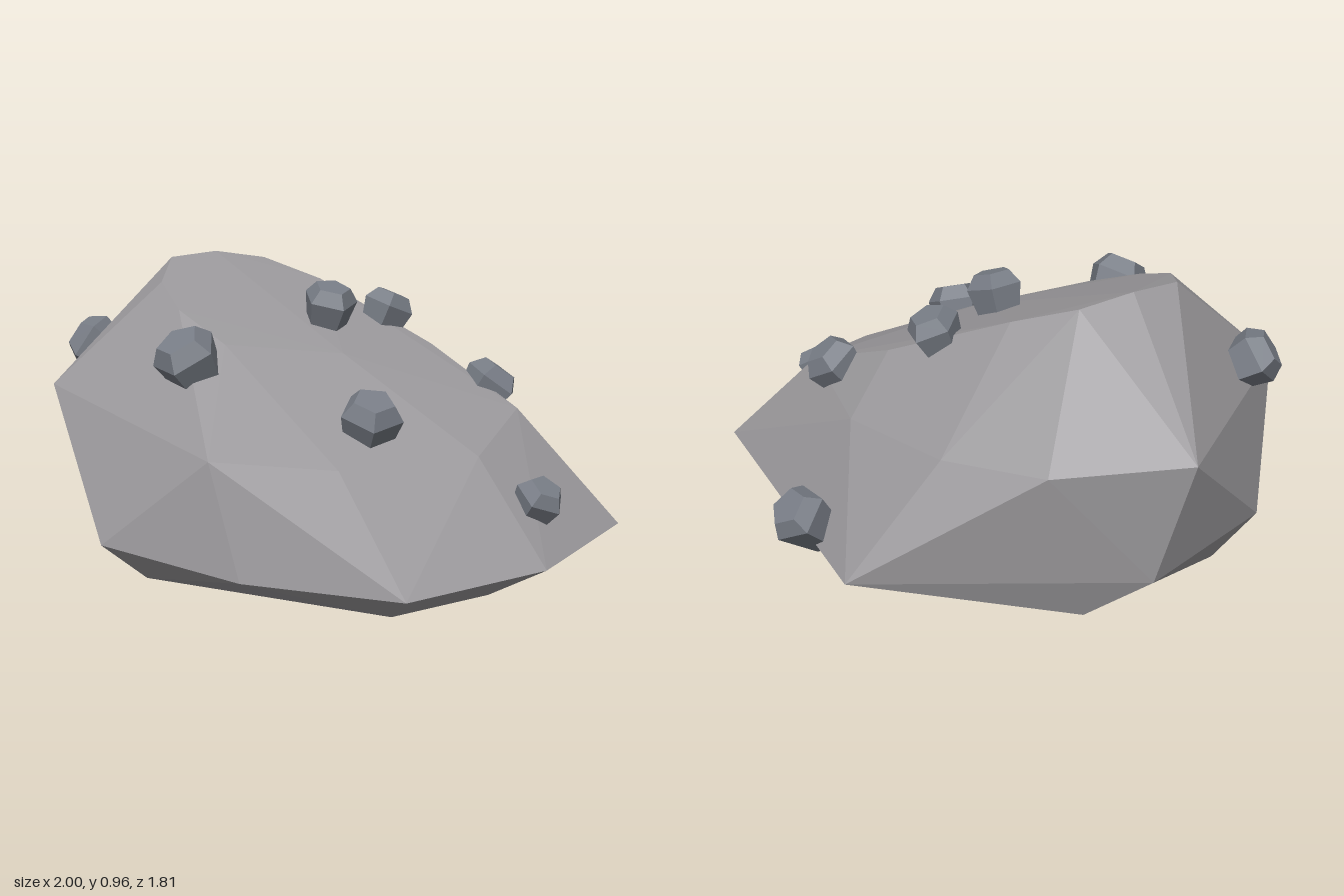
import * as THREE from 'three';
import { ConvexGeometry } from 'three/addons/geometries/ConvexGeometry.js';

const V = (p) => new THREE.Vector3(...p);

export function createModel() {
  const model = new THREE.Group();
  const stone = new THREE.MeshStandardMaterial({ color: 0x9a989b });
  stone.name = 'warm grey stone';
  const slate = new THREE.MeshStandardMaterial({ color: 0x777c85 });
  slate.name = 'blue grey slate';

  // Boulder: faceted hull through its foot, rim, shoulders and sloping crown
  const foot = [
    [0.6, 0.015, -0.44], [0.83, 0.02, 0], [0.8, 0.02, 0.36], [0.04, 0.01, 0.755],
    [-0.76, 0, 0.32], [-0.74, 0, -0.24], [-0.22, 0.005, -0.645],
  ];
  const rim = [
    [0.8, 0.13, -0.61], [1, 0.13, -0.08], [0.965, 0.13, 0.44], [0.5, 0.11, 0.7],
    [0.01, 0.14, 0.9], [-0.83, 0.155, 0.45], [-0.914, 0.16, -0.11], [-0.3, 0.14, -0.845],
  ];
  const shoulders = [
    [-0.57, 0.545, 0.76], [-1, 0.585, -0.04], [-0.73, 0.546, -0.39],
    [-0.4, 0.52, -0.54], [0.06, 0.48, -0.565], [0.335, 0.45, 0.7],
  ];
  const crown = [
    [-0.32, 0.86, -0.2], [-0.5, 0.93, -0.075], [-0.555, 0.96, 0.1], [-0.565, 0.95, 0.28],
    [-0.4, 0.89, 0.42], [-0.22, 0.82, 0.46], [0, 0.73, 0.42], [0.165, 0.685, 0.06],
    [0.1, 0.66, -0.38], [0.5, 0.495, -0.42], [0.68, 0.417, -0.085], [0.565, 0.42, 0.38],
  ];
  const boulder = new THREE.Mesh(
    new ConvexGeometry([...foot, ...rim, ...shoulders, ...crown].map(V)), stone);
  boulder.name = 'boulder';
  model.add(boulder);

  // Knob: five-sided stub with a bevelled flat top, tapering into the boulder
  const profile = [[0, -1.45], [0.65, -1.45], [1.04, 0.2], [0.68, 0.7], [0, 0.7]]
    .map(([r, y]) => new THREE.Vector2(r, y));
  const knobGeometry = new THREE.LatheGeometry(profile, 5).toNonIndexed();
  knobGeometry.computeVertexNormals();

  // position, outward direction, radius, twist
  const knobs = [
    [[-0.68, 0.65, 0.54], [-0.55, 0.5, 0.55], 0.1, 0.3],
    [[0, 0.7, 0.56], [0.05, 0.8, 0.5], 0.11, 0.6],
    [[-0.02, 0.82, -0.02], [0.3, 0.93, 0], 0.092, 0.2],
    [[-0.06, 0.77, -0.305], [0.15, 0.9, -0.35], 0.09, 0.9],
    [[0.335, 0.545, -0.445], [0.3, 0.8, -0.5], 0.097, 0.4],
    [[0.48, 0.54, 0.19], [0.38, 0.9, 0.12], 0.1, 1.0],
    [[0.83, 0.29, -0.205], [0.5, 0.8, -0.1], 0.08, 0.5],
    [[0, 0.23, -0.81], [0.05, 0.7, -0.62], 0.1, 0.63],
  ];
  const knobGroup = new THREE.Group();
  knobGroup.name = 'knobs';
  const up = new THREE.Vector3(0, 1, 0);
  knobs.forEach(([at, out, radius, twist], i) => {
    const knob = new THREE.Mesh(knobGeometry, slate);
    knob.name = `knob${i + 1}`;
    knob.position.set(...at);
    knob.quaternion.setFromUnitVectors(up, V(out).normalize());
    knob.rotateY(twist);
    knob.scale.setScalar(radius);
    knobGroup.add(knob);
  });
  model.add(knobGroup);
  return model;
}
